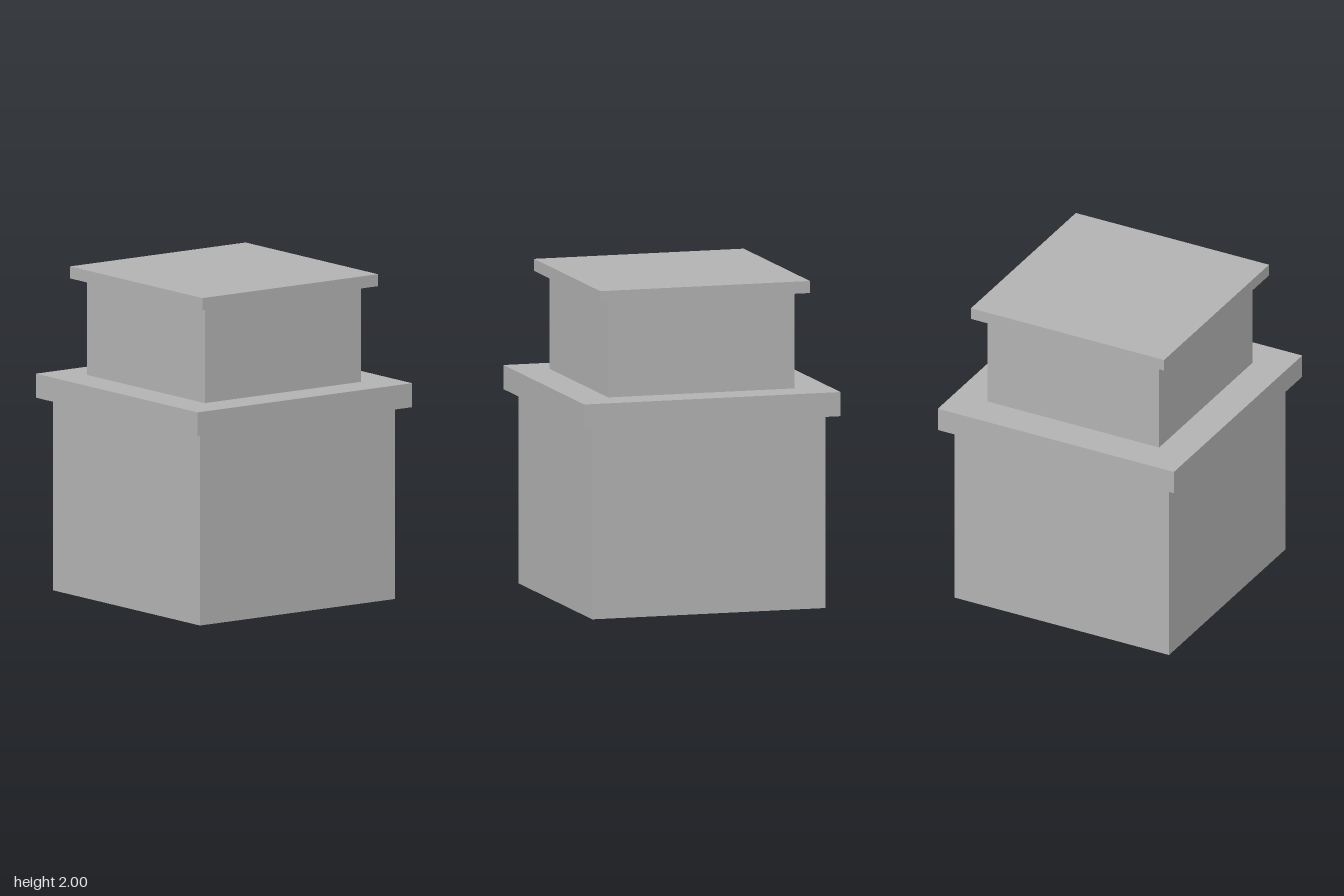
import * as THREE from 'three';

// The design sits on a regular grid: 27 steps make up the full height.
const STEP = 2 / 27;

export function createModel() {
  const group = new THREE.Group();
  const grey = new THREE.MeshStandardMaterial({ color: 0xb2b2b2 });
  grey.name = 'grey';

  // Square tiers from the ground up: name, width and height in steps
  const tiers = [
    ['base', 20, 16],
    ['ledge', 22, 2],
    ['upperBlock', 16, 8],
    ['cap', 18, 1],
  ];

  let y = 0;
  for (const [name, width, height] of tiers) {
    const w = width * STEP;
    const h = height * STEP;
    const tier = new THREE.Mesh(new THREE.BoxGeometry(w, h, w), grey);
    tier.name = name;
    tier.position.y = y + h / 2;
    group.add(tier);
    y += h;
  }
  return group;
}
